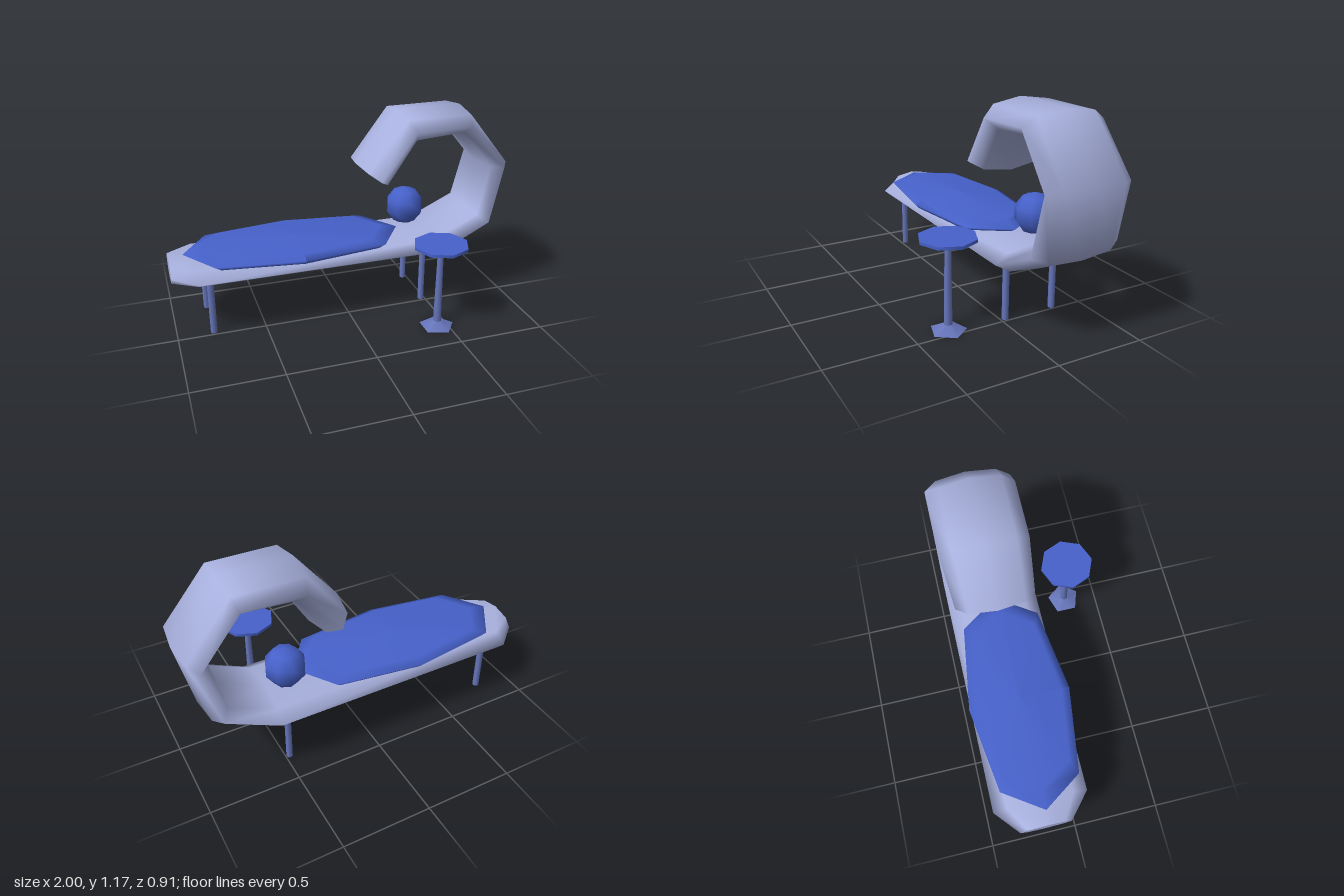
import * as THREE from 'three';

const paleBlue = new THREE.MeshStandardMaterial({ name: 'paleBlue', color: 0xa8b1de });
const deepBlue = new THREE.MeshStandardMaterial({ name: 'deepBlue', color: 0x4661ca });
const legBlue = new THREE.MeshStandardMaterial({ name: 'legBlue', color: 0x6675ba });

const SIDES = 8;
const BODY_Z = -0.18;

// Stations of the curled body: outer x, y, inner x, y, half width
const STATIONS = [
  [-1.0, 0.3, -1.0, 0.43, 0.145],
  [-0.86, 0.3, -0.86, 0.43, 0.267],
  [0.575, 0.3, 0.535, 0.425, 0.267],
  [0.908, 0.467, 0.79, 0.54, 0.26],
  [0.995, 0.85, 0.86, 0.82, 0.25],
  [0.74, 1.168, 0.685, 1.025, 0.24],
  [0.34, 1.168, 0.417, 1.0, 0.24],
  [0.098, 0.87, 0.268, 0.757, 0.222],
];

function ringPoint([ox, oy, ix, iy, w], i) {
  const a = (i / SIDES) * Math.PI * 2;
  const t = (Math.sin(a) + 1) / 2;
  return [ox + (ix - ox) * t, oy + (iy - oy) * t, BODY_Z + w * Math.cos(a)];
}

function geometryFrom(pos, idx) {
  const g = new THREE.BufferGeometry();
  g.setAttribute('position', new THREE.Float32BufferAttribute(pos, 3));
  g.setIndex(idx);
  g.computeVertexNormals();
  return g;
}

// Smooth skin running through all the stations
function bodySkin() {
  const pos = [], idx = [];
  STATIONS.forEach((st, s) => {
    for (let i = 0; i < SIDES; i++) {
      pos.push(...ringPoint(st, i));
      if (s === STATIONS.length - 1) continue;
      const j = (i + 1) % SIDES;
      const a = s * SIDES + i, d = s * SIDES + j;
      idx.push(a, a + SIDES, d + SIDES, a, d + SIDES, d);
    }
  });
  return geometryFrom(pos, idx);
}

// Flat end of the body
function bodyCap(station, reversed) {
  const pos = [], idx = [];
  for (let i = 0; i < SIDES; i++) {
    pos.push(...ringPoint(station, i));
    if (i > 1) idx.push(0, ...(reversed ? [i, i - 1] : [i - 1, i]));
  }
  return geometryFrom(pos, idx);
}

export function createModel() {
  const model = new THREE.Group();
  model.name = 'loungerWithTable';

  function add(parent, name, geometry, material, x = 0, y = 0, z = 0) {
    const mesh = new THREE.Mesh(geometry, material);
    mesh.name = name;
    mesh.position.set(x, y, z);
    parent.add(mesh);
    return mesh;
  }

  // Bed that curls up into an overhead canopy
  const bed = new THREE.Group();
  bed.name = 'curledBed';
  model.add(bed);
  add(bed, 'bedShell', bodySkin(), paleBlue);
  add(bed, 'footEnd', bodyCap(STATIONS[0], false), paleBlue);
  add(bed, 'canopyEnd', bodyCap(STATIONS[STATIONS.length - 1], true), paleBlue);

  // Bed legs
  for (const x of [-0.796, 0.477]) {
    for (const z of [-0.028, -0.328]) {
      add(model, 'bedLeg', new THREE.CylinderGeometry(0.019, 0.019, 0.33, 8), legBlue, x, 0.165, z);
    }
  }

  // Eight-sided cushion, slightly squared at its diagonals
  const profile = [[0, 0.42], [0.93, 0.42], [1, 0.445], [0.84, 0.468], [0, 0.487]];
  const cushion = new THREE.LatheGeometry(profile.map(([r, y]) => new THREE.Vector2(r, y)), 8);
  const p = cushion.attributes.position;
  for (let i = 0; i < p.count; i++) {
    const x = p.getX(i), z = p.getZ(i);
    const k = Math.abs(x * z) > 0.01 ? 1.08 : 1;
    p.setXYZ(i, x * k * 0.638, p.getY(i), z * k * 0.292);
  }
  cushion.computeVertexNormals();
  add(model, 'cushion', cushion, deepBlue, -0.283, 0, -0.162);

  // Round pillow
  add(model, 'pillow', new THREE.SphereGeometry(0.116, 8, 5), deepBlue, 0.433, 0.553, -0.23);

  // Side table
  const table = new THREE.Group();
  table.name = 'sideTable';
  table.position.set(0.44, 0, 0.297);
  model.add(table);
  add(table, 'tableTop', new THREE.CylinderGeometry(0.156, 0.156, 0.017, 8), deepBlue, 0, 0.512, 0);
  add(table, 'tablePost', new THREE.CylinderGeometry(0.017, 0.024, 0.49, 8), legBlue, 0, 0.26, 0);
  add(table, 'tableBase',
    new THREE.CylinderGeometry(0.022, 0.101, 0.037, 5, 1, false, Math.PI / 2), legBlue, 0, 0.0185, 0);

  return model;
}
